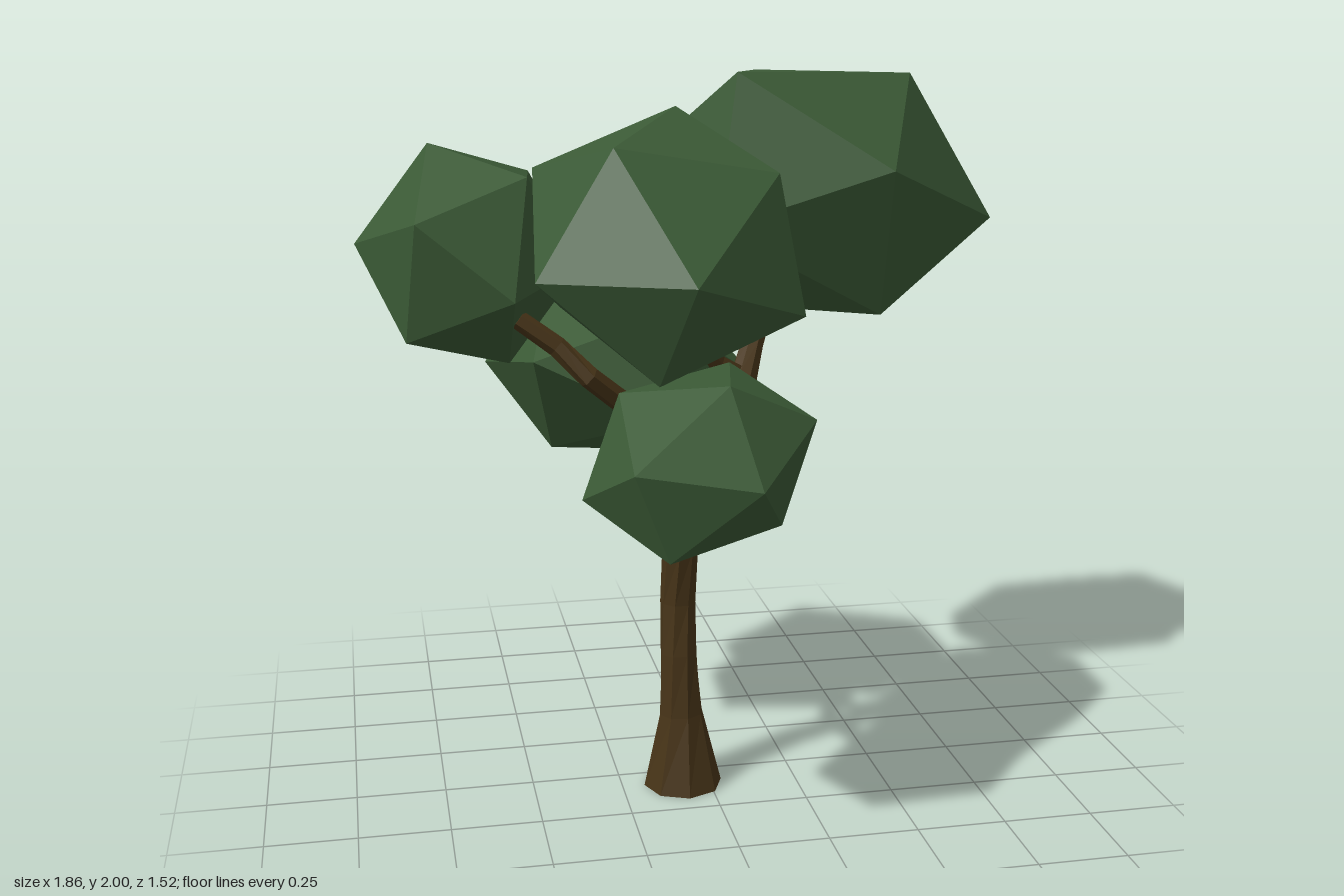
import * as THREE from 'three';

const V = (p) => new THREE.Vector3(...p);
const bark = new THREE.MeshStandardMaterial({ color: 0x473418, flatShading: true });
const leaf = new THREE.MeshStandardMaterial({ color: 0x3b5a36, flatShading: true });

// Tapered faceted limb through points [x, y, z, radius], capped at both ends
function limb(name, pts, sides, twist = 0) {
  const c = pts.map((p) => V(p.slice(0, 3)));
  const pos = [], idx = [], n = pts.length;
  c.forEach((p, i) => {
    const t = i === 0 && name === 'trunk' ? V([0, 1, 0])
      : c[Math.min(i + 1, n - 1)].clone().sub(c[Math.max(i - 1, 0)]).normalize();
    const u = V([1, 0, 0]).addScaledVector(t, -t.x).normalize();
    const v = t.clone().cross(u);
    for (let k = 0; k < sides; k++) {
      const a = (k / sides) * Math.PI * 2 + i * twist;
      const q = p.clone()
        .addScaledVector(u, Math.cos(a) * pts[i][3])
        .addScaledVector(v, Math.sin(a) * pts[i][3]);
      pos.push(q.x, q.y, q.z);
      if (i < n - 1) {
        const k2 = (k + 1) % sides, a0 = i * sides + k, a1 = i * sides + k2;
        idx.push(a0, a1, a1 + sides, a0, a1 + sides, a0 + sides);
      }
    }
  });
  const last = (n - 1) * sides;
  for (let k = 1; k < sides - 1; k++) {
    idx.push(0, k + 1, k, last, last + k, last + k + 1);
  }
  const g = new THREE.BufferGeometry();
  g.setAttribute('position', new THREE.Float32BufferAttribute(pos, 3));
  g.setIndex(idx);
  g.computeVertexNormals();
  const m = new THREE.Mesh(g, bark);
  m.name = name;
  return m;
}

// Stretched icosahedron: a, b, c are the offsets from the centre to the
// three corners of one face, which fix its size, tilt and skew
function foliage(name, centre, a, b, c) {
  const phi = (1 + Math.sqrt(5)) / 2;
  const face = [[0, 1, phi], [0, -1, phi], [phi, 0, 1]];
  // Keep the winding outward whichever way round the corners are given
  const turn = (m) => m.determinant() > 0;
  const basis = (p) => new THREE.Matrix4().makeBasis(...p.map((q) => V(q)));
  const to = basis([a, b, c]);
  if (turn(to) !== turn(basis(face))) face[2][0] = -phi;
  const g = new THREE.IcosahedronGeometry(Math.hypot(1, phi), 0);
  g.applyMatrix4(to.multiply(basis(face).invert()));
  g.computeVertexNormals();
  const m = new THREE.Mesh(g, leaf);
  m.name = name;
  m.position.set(...centre);
  return m;
}

export function createModel() {
  const tree = new THREE.Group();
  tree.name = 'tree';

  // Trunk flares at the root and leans into the largest crown
  tree.add(limb('trunk', [
    [-0.075, 0, 0.08, 0.112], [-0.08, 0.22, 0.08, 0.063], [-0.085, 0.4, 0.075, 0.053],
    [-0.085, 0.55, 0.065, 0.05], [-0.08, 0.72, 0.08, 0.05], [-0.075, 0.9, 0.1, 0.05],
    [-0.01, 1.05, 0.095, 0.045], [0.1, 1.19, 0.075, 0.04], [0.135, 1.27, 0.02, 0.032],
    [0.22, 1.42, -0.1, 0.024], [0.32, 1.58, -0.2, 0.018],
  ], 8, 0.15));

  // Branches reaching into the other crowns
  tree.add(limb('frontUpperBranch', [
    [0.1, 1.19, 0.07, 0.03], [0.02, 1.24, 0.1, 0.026],
    [-0.05, 1.34, 0.14, 0.022], [-0.1, 1.48, 0.22, 0.016],
  ], 6));
  tree.add(limb('rightBranch', [
    [-0.07, 0.94, 0.1, 0.035], [-0.19, 1.1, 0.11, 0.033], [-0.34, 1.23, 0.17, 0.03],
    [-0.42, 1.31, 0.14, 0.028], [-0.52, 1.385, 0.13, 0.026],
  ], 6));
  tree.add(limb('frontLowerBranch', [
    [-0.08, 0.78, 0.07, 0.035], [-0.11, 0.82, 0.16, 0.034], [-0.12, 0.865, 0.24, 0.03],
    [-0.11, 0.95, 0.3, 0.022], [-0.1, 1.03, 0.4, 0.016],
  ], 6));
  tree.add(limb('backLowerBranch', [
    [-0.08, 0.74, 0.08, 0.034], [-0.09, 0.78, 0, 0.03], [-0.1, 0.85, -0.09, 0.026],
    [-0.11, 0.87, -0.16, 0.024], [-0.14, 0.94, -0.25, 0.02], [-0.17, 1.05, -0.33, 0.014],
  ], 6));

  // Leaf crowns
  tree.add(foliage('leftCrown', [0.405, 1.65, -0.325],
    [0.525, -0.09, 0.035], [0.122, 0.09, 0.375], [0.265, 0.335, 0.03]));
  tree.add(foliage('frontUpperCrown', [-0.157, 1.61, 0.337],
    [0, -0.055, 0.4], [-0.363, -0.055, 0.245], [-0.158, 0.25, 0.15]));
  tree.add(foliage('rightCrown', [-0.632, 1.535, -0.033],
    [-0.098, 0.295, -0.032], [-0.15, 0.115, 0.238], [-0.3, 0.035, -0.017]));
  tree.add(foliage('frontLowerCrown', [-0.104, 1.08, 0.498],
    [0.304, 0.085, -0.013], [0.104, -0.02, 0.26], [0.053, 0.21, 0.1025]));
  tree.add(foliage('backLowerCrown', [-0.185, 1.135, -0.37],
    [-0.075, 0.075, -0.39], [-0.38, 0.01, -0.11], [-0.195, 0.265, 0.005]));
  return tree;
}
